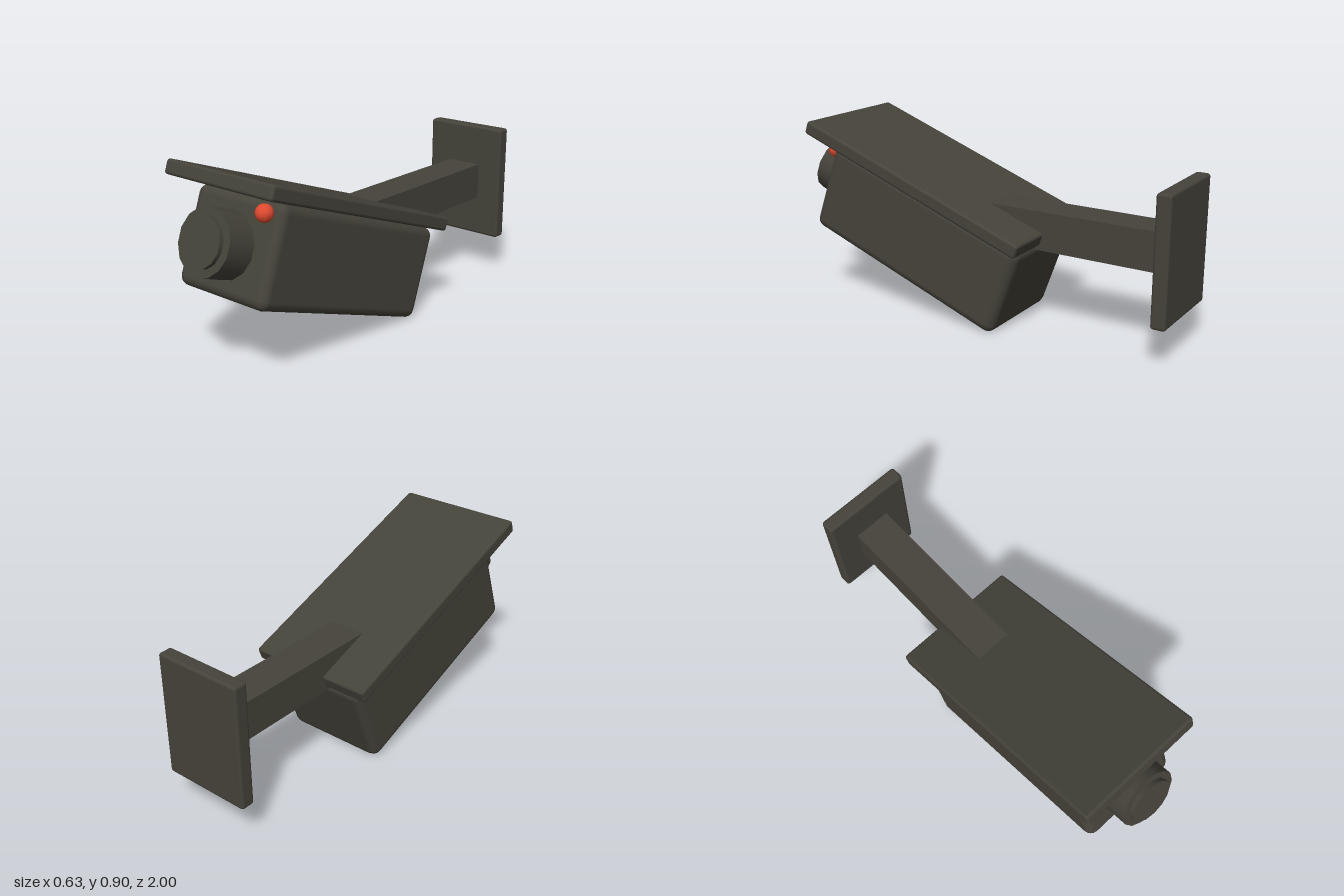
import * as THREE from 'three';
import { RoundedBoxGeometry } from 'three/addons/geometries/RoundedBoxGeometry.js';

export function createModel() {
  const model = new THREE.Group();
  model.name = 'securityCamera';

  const casing = new THREE.MeshStandardMaterial({ color: 0x45433a });
  casing.name = 'dark casing';
  const red = new THREE.MeshStandardMaterial({ color: 0xe04a30 });
  red.name = 'red light';

  const add = (parent, name, geometry, material, x, y, z) => {
    const mesh = new THREE.Mesh(geometry, material);
    mesh.name = name;
    mesh.position.set(x, y, z);
    parent.add(mesh);
    return mesh;
  };
  const box = (w, h, d, radius, segments = 2) => new RoundedBoxGeometry(w, h, d, segments, radius);

  // Wall mount
  add(model, 'wallPlate', box(0.44, 0.595, 0.07, 0.014), casing, 0, 0.488, -0.965);
  add(model, 'mountArm', new THREE.BoxGeometry(0.184, 0.184, 0.95), casing, 0, 0.488, -0.475);

  // Camera head, tilted with its front raised
  const head = new THREE.Group();
  head.name = 'cameraHead';
  head.position.set(0, 0.391, 0.29);
  head.rotation.x = -THREE.MathUtils.degToRad(20);
  model.add(head);

  add(head, 'body', box(0.52, 0.452, 1.108, 0.045), casing, 0, 0, 0);
  add(head, 'sunShield', box(0.635, 0.068, 1.265, 0.014), casing, 0, 0.262, 0.069);

  // Lens: wide barrel with a narrower front element
  const lensPart = (name, radius, from, to) => {
    const geometry = new THREE.CylinderGeometry(radius, radius, to - from, 14).rotateX(Math.PI / 2);
    add(head, name, geometry, casing, 0, 0, (from + to) / 2);
  };
  lensPart('lensBarrel', 0.15, 0.5, 0.695);
  lensPart('lensFront', 0.114, 0.6, 0.716);

  // Status light at the upper corner of the front face
  add(head, 'statusLight', new THREE.SphereGeometry(0.04, 10, 8), red, 0.187, 0.171, 0.582);

  return model;
}
